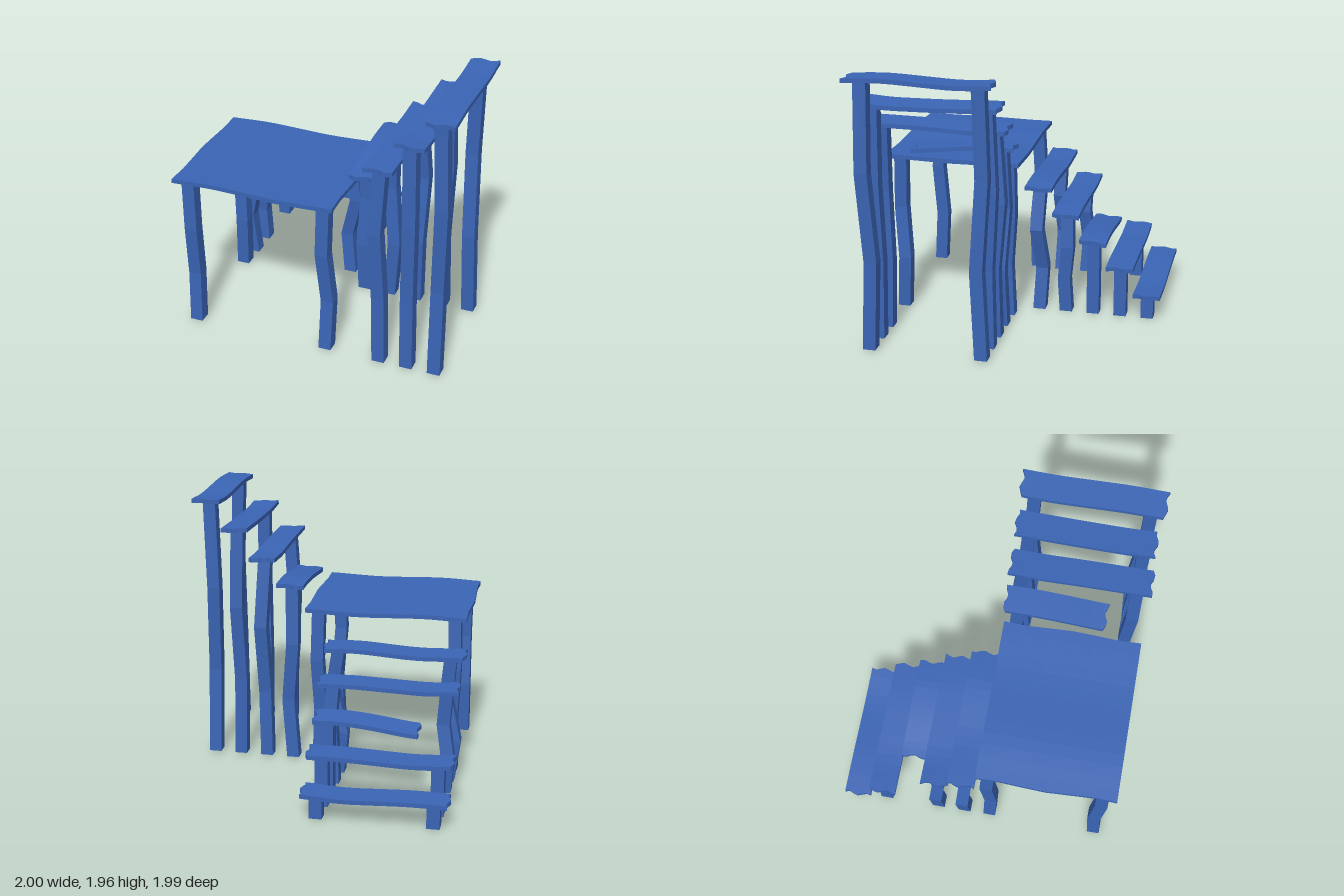
import * as THREE from 'three';

const material = new THREE.MeshStandardMaterial({ color: 0x3a64b4, flatShading: true });

// Piecewise-linear lookup through [position, value] pairs
function sample(points, t) {
  for (let i = 1; i < points.length; i++) {
    const [a, va] = points[i - 1], [b, vb] = points[i];
    if (t <= b || i === points.length - 1) {
      const k = THREE.MathUtils.clamp((t - a) / (b - a), 0, 1);
      return va + (vb - va) * k;
    }
  }
}

// Smooth bend: average the lookup over a short span
function bend(points, t) {
  let sum = 0;
  for (let i = -2; i <= 2; i++) sum += sample(points, t + i * 0.05);
  return sum / 5;
}

// Warped board: 'along' is the long axis, profile gives the top height along it
function board(name, along, [a0, a1], [c0, c1], profile, { tilt = 0, phase = 0, thick = 0.03, rough = 0.012 } = {}) {
  const geo = new THREE.BoxGeometry(a1 - a0, thick, c1 - c0, 14, 1, 6);
  const p = geo.attributes.position;
  for (let i = 0; i < p.count; i++) {
    const u = p.getX(i) / (a1 - a0), w = p.getZ(i) / (c1 - c0);
    let a = (a0 + a1) / 2 + p.getX(i);
    const c = (c0 + c1) / 2 + p.getZ(i);
    const y = bend(profile, a) - thick / 2 + p.getY(i) + tilt * w;
    // Uneven sawn ends
    if (Math.abs(u) > 0.49) a += rough * Math.sin(w * 9 + phase + u * 3);
    if (along === 'x') p.setXYZ(i, a, y, c);
    else p.setXYZ(i, c, y, a);
  }
  // Swapping the axes mirrors the box, so turn the faces back round
  if (along === 'z') {
    const idx = geo.index.array;
    for (let i = 0; i < idx.length; i += 3) [idx[i], idx[i + 1]] = [idx[i + 1], idx[i]];
  }
  geo.computeVertexNormals();
  const mesh = new THREE.Mesh(geo, material);
  mesh.name = name;
  return mesh;
}

// Crooked square post with two kinks, at one third and two thirds of its height
function post(name, x, z, top, kinks = [0, 0, 0, 0], bottom = 0) {
  const h = top - bottom;
  const geo = new THREE.BoxGeometry(0.09, h, 0.09, 1, 3, 1);
  const p = geo.attributes.position;
  for (let i = 0; i < p.count; i++) {
    const level = Math.round((p.getY(i) / h + 0.5) * 3);
    const k = level === 1 ? 0 : 2;
    const on = level === 1 || level === 2 ? 1 : 0;
    p.setXYZ(i, p.getX(i) + x + on * kinks[k], p.getY(i) + h / 2 + bottom, p.getZ(i) + z + on * kinks[k + 1]);
  }
  geo.computeVertexNormals();
  const mesh = new THREE.Mesh(geo, material);
  mesh.name = name;
  return mesh;
}

export function createModel() {
  const model = new THREE.Group();
  model.name = 'crookedStairs';

  // Lower flight, rising from the back towards the landing
  const lower = [
    { x: [-0.99, 0.01], y: [[-0.99, 0.2], [-0.75, 0.205], [-0.25, 0.18], [0, 0.2]] },
    { x: [-0.99, 0.01], y: [[-0.99, 0.4], [-0.75, 0.38], [-0.2, 0.4], [0, 0.395]] },
    { x: [-0.72, 0.0], y: [[-0.72, 0.525], [-0.35, 0.575], [-0.1, 0.59], [0, 0.575]], right: [], tilt: 0.015 },
    { x: [-0.97, 0.01], y: [[-0.97, 0.785], [-0.8, 0.76], [-0.2, 0.78], [0, 0.77]],
      left: [-0.02, -0.015, 0.02, 0.01], right: [0.01, 0.015, 0.02, -0.01] },
    { x: [-0.99, 0.01], y: [[-0.99, 0.96], [-0.65, 0.945], [-0.2, 0.975], [0, 0.96]],
      left: [-0.04, -0.01, 0.03, 0.01], right: [-0.03, -0.015, 0.05, 0.015] },
  ];
  lower.forEach((s, i) => {
    const z = -0.9 + i * 0.2;
    const step = new THREE.Group();
    step.name = `lowerStep${i + 1}`;
    step.add(board('tread', 'x', s.x, [z - 0.098, z + 0.098], s.y, { tilt: s.tilt ?? 0.005, phase: i * 1.7 }));
    step.add(post('innerPost', -0.09, z, bend(s.y, -0.09) - 0.02, s.right?.length ? s.right : undefined));
    // The short broken tread has no outer post
    if (i !== 2) step.add(post('outerPost', -0.89, z, bend(s.y, -0.89) - 0.02, s.left));
    model.add(step);
  });

  // Square landing
  const landing = new THREE.Group();
  landing.name = 'landing';
  const landingProfile = [[-0.98, 1.18], [-0.7, 1.195], [-0.2, 1.175], [0.19, 1.19]];
  landing.add(board('landingTop', 'x', [-0.98, 0.185], [0.005, 0.985], landingProfile, { tilt: 0.006, rough: 0.008 }));
  [
    [-0.89, 0.09, [0.01, 0.01, -0.01, -0.02]], [-0.89, 0.885, [0, -0.02, 0.005, 0.01]],
    [0.095, 0.09, [-0.01, 0.02, 0.01, -0.01]], [0.095, 0.885, [0.015, -0.02, -0.012, 0.01]],
  ].forEach(([x, z, kinks]) => landing.add(post('landingPost', x, z, 1.165, kinks, 0.01)));
  model.add(landing);

  // Upper flight, rising to the side of the landing
  const upper = [
    { z: [0, 0.71], y: [[0, 1.355], [0.12, 1.365], [0.35, 1.35], [0.71, 1.305]], tilt: 0.008,
      back: [0.035, 0.01, -0.005, -0.02] },
    { z: [0, 0.985], y: [[0, 1.545], [0.2, 1.53], [0.5, 1.545], [0.98, 1.55]], tilt: -0.01,
      front: [-0.01, -0.01, -0.032, 0.01], back: [0.01, 0.01, 0.028, -0.04] },
    { z: [0, 0.965], y: [[0, 1.75], [0.4, 1.735], [0.82, 1.73], [0.97, 1.75]], tilt: -0.012,
      front: [-0.005, -0.01, 0.005, 0.005], back: [-0.008, 0.01, 0.01, -0.025] },
    { z: [0, 0.985], y: [[0, 1.955], [0.2, 1.935], [0.75, 1.962], [0.98, 1.945]], tilt: 0.005,
      front: [0, -0.03, 0.022, 0.008], back: [-0.008, 0.03, -0.02, -0.012] },
  ];
  upper.forEach((s, i) => {
    const x = 0.292 + i * 0.203, px = 0.29 + i * 0.2;
    const step = new THREE.Group();
    step.name = `upperStep${i + 1}`;
    step.add(board('tread', 'z', s.z, [x - 0.098, x + 0.098], s.y, { tilt: s.tilt, phase: 2 + i * 1.9 }));
    step.add(post('backPost', px, 0.095, bend(s.y, 0.09) - 0.02, s.back, 0.01));
    if (s.front) step.add(post('frontPost', px, 0.89, bend(s.y, 0.89) - 0.02, s.front, 0.01));
    model.add(step);
  });

  return model;
}
